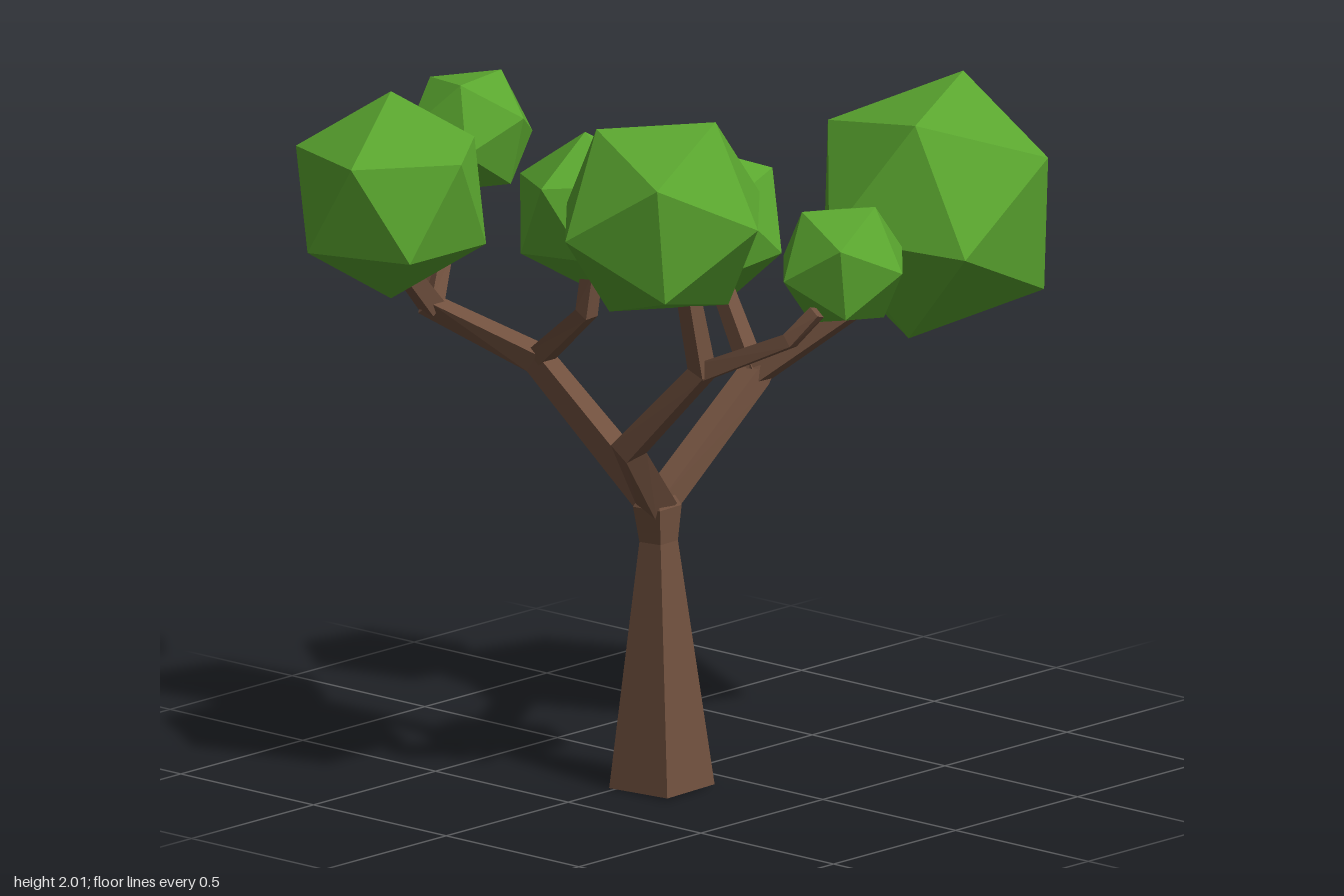
import * as THREE from 'three';

const V = (p) => new THREE.Vector3(...p);

const bark = new THREE.MeshStandardMaterial({ color: 0x70503e, flatShading: true });
bark.name = 'bark';
const leaf = new THREE.MeshStandardMaterial({ color: 0x5aa62f, flatShading: true });
leaf.name = 'leaf';

// Square section swept along nodes [x, y, z, halfWidth]; ref sets how the faces turn
function limb(name, nodes, ref = [0, 0, 1]) {
  const pts = nodes.map((n) => V(n.slice(0, 3)));
  const pos = [];
  const idx = [];
  pts.forEach((p, i) => {
    const before = p.clone().sub(pts[Math.max(i - 1, 0)]).normalize();
    const after = pts[Math.min(i + 1, pts.length - 1)].clone().sub(p).normalize();
    const t = before.add(after).normalize();
    const s = V(ref).cross(t).normalize();
    const u = t.clone().cross(s);
    for (const [a, b] of [[1, 1], [-1, 1], [-1, -1], [1, -1]]) {
      const c = p.clone().addScaledVector(s, a * nodes[i][3]).addScaledVector(u, b * nodes[i][3]);
      pos.push(c.x, c.y, c.z);
    }
    if (i === 0) return;
    for (let j = 0; j < 4; j++) {
      const a = (i - 1) * 4 + j;
      const b = (i - 1) * 4 + ((j + 1) % 4);
      idx.push(a, b, b + 4, a, b + 4, a + 4);
    }
  });
  const e = (pts.length - 1) * 4;
  idx.push(0, 2, 1, 0, 3, 2, e, e + 1, e + 2, e, e + 2, e + 3);
  const indexed = new THREE.BufferGeometry();
  indexed.setAttribute('position', new THREE.Float32BufferAttribute(pos, 3));
  indexed.setIndex(idx);
  const geo = indexed.toNonIndexed();
  geo.computeVertexNormals();
  const mesh = new THREE.Mesh(geo, bark);
  mesh.name = name;
  return mesh;
}

// Orthonormal frame from two neighbouring corner directions
function frame(a, b) {
  const x = a.clone().normalize();
  const y = b.clone().addScaledVector(x, -b.dot(x)).normalize();
  return new THREE.Matrix4().makeBasis(x, y, x.clone().cross(y));
}

// Twenty-sided leaf clump turned so that two neighbouring corners point along c1 and c2
function clump(name, centre, radius, c1, c2) {
  const g = (1 + Math.sqrt(5)) / 2;
  const own = frame(V([-1, g, 0]), V([1, g, 0]));
  const turn = frame(V(c1), V(c2)).multiply(own.transpose());
  const mesh = new THREE.Mesh(new THREE.IcosahedronGeometry(radius, 0), leaf);
  mesh.quaternion.setFromRotationMatrix(turn);
  mesh.position.set(...centre);
  mesh.name = name;
  return mesh;
}

export function createModel() {
  const tree = new THREE.Group();
  tree.name = 'tree';

  // Trunk with a narrow neck, flaring at the fork
  const wood = new THREE.Group();
  wood.name = 'wood';
  const fork = [0.06, 0.8, 0.2];
  wood.add(limb('trunk',
    [[0.08, 0, 0.203, 0.104], [0.065, 0.7, 0.2, 0.038], [...fork, 0.048], [0.06, 0.83, 0.2, 0.035]],
    [0.06, 0, 1]));

  // Right-hand side as seen from the front
  const leftElbow = [0.4, 1.28, 0.385];
  wood.add(
    limb('leftBranch', [[...fork, 0.04], [0.15, 1.02, 0.415, 0.036], [...leftElbow, 0.03],
      [0.385, 1.52, 0.43, 0.024]]),
    limb('leftOuterTwig', [[...leftElbow, 0.026], [0.67, 1.405, 0.32, 0.02], [0.735, 1.49, 0.28, 0.018]]),
  );

  // Opposite side, forking twice
  const rightElbow = [-0.41, 1.135, 0.18];
  const rightTip = [-0.615, 1.29, 0.39];
  wood.add(
    limb('rightBranch', [[...fork, 0.038], [...rightElbow, 0.033], [...rightTip, 0.03],
      [-0.67, 1.43, 0.29, 0.024], [-0.68, 1.58, 0.24, 0.022]]),
    limb('rightInnerTwig', [[...rightElbow, 0.028], [-0.17, 1.32, 0.24, 0.023], [-0.155, 1.44, 0.235, 0.022]]),
    limb('rightFrontTwig', [[...rightTip, 0.027], [-0.59, 1.46, 0.56, 0.023]]),
  );

  // Back branch
  const backElbow = [0.012, 1.08, -0.25];
  wood.add(
    limb('backBranch', [[...fork, 0.036], [...backElbow, 0.034], [0.014, 1.12, -0.285, 0.03]], [1, 0, 0]),
    limb('backLeftTwig', [[...backElbow, 0.03], [0.33, 1.35, -0.43, 0.025]]),
    limb('backRightTwig', [[...backElbow, 0.027], [-0.17, 1.32, -0.3, 0.022]]),
  );
  tree.add(wood);

  // Leaf clumps
  const foliage = new THREE.Group();
  foliage.name = 'foliage';
  foliage.add(
    clump('backLeftLeaves', [0.438, 1.59, -0.531], 0.381, [0.058, 0.033, -0.375], [-0.034, 0.35, -0.14]),
    clump('frontLeftLeaves', [0.333, 1.73, 0.476], 0.315, [0.09, 0.03, -0.3], [0.12, 0.273, -0.074]),
    clump('frontRightLeaves', [-0.54, 1.67, 0.639], 0.297, [0, 1, 0], [0.266, 0.133, 0]),
    clump('middleLeaves', [-0.196, 1.6, 0.201], 0.225, [-0.015, 0.225, 0], [0.005, 0.09, 0.21]),
    clump('backRightLeaves', [-0.232, 1.46, -0.332], 0.232, [-0.031, 0.05, 0.222], [-0.215, 0.065, 0.065]),
    clump('farRightLeaves', [-0.726, 1.72, 0.111], 0.19, [0.177, 0.06, -0.024], [0.075, -0.02, -0.174]),
    clump('farLeftLeaves', [0.707, 1.595, 0.143], 0.194, [0.19, 0, -0.036], [0.083, 0.172, -0.047]),
  );
  tree.add(foliage);
  return tree;
}
